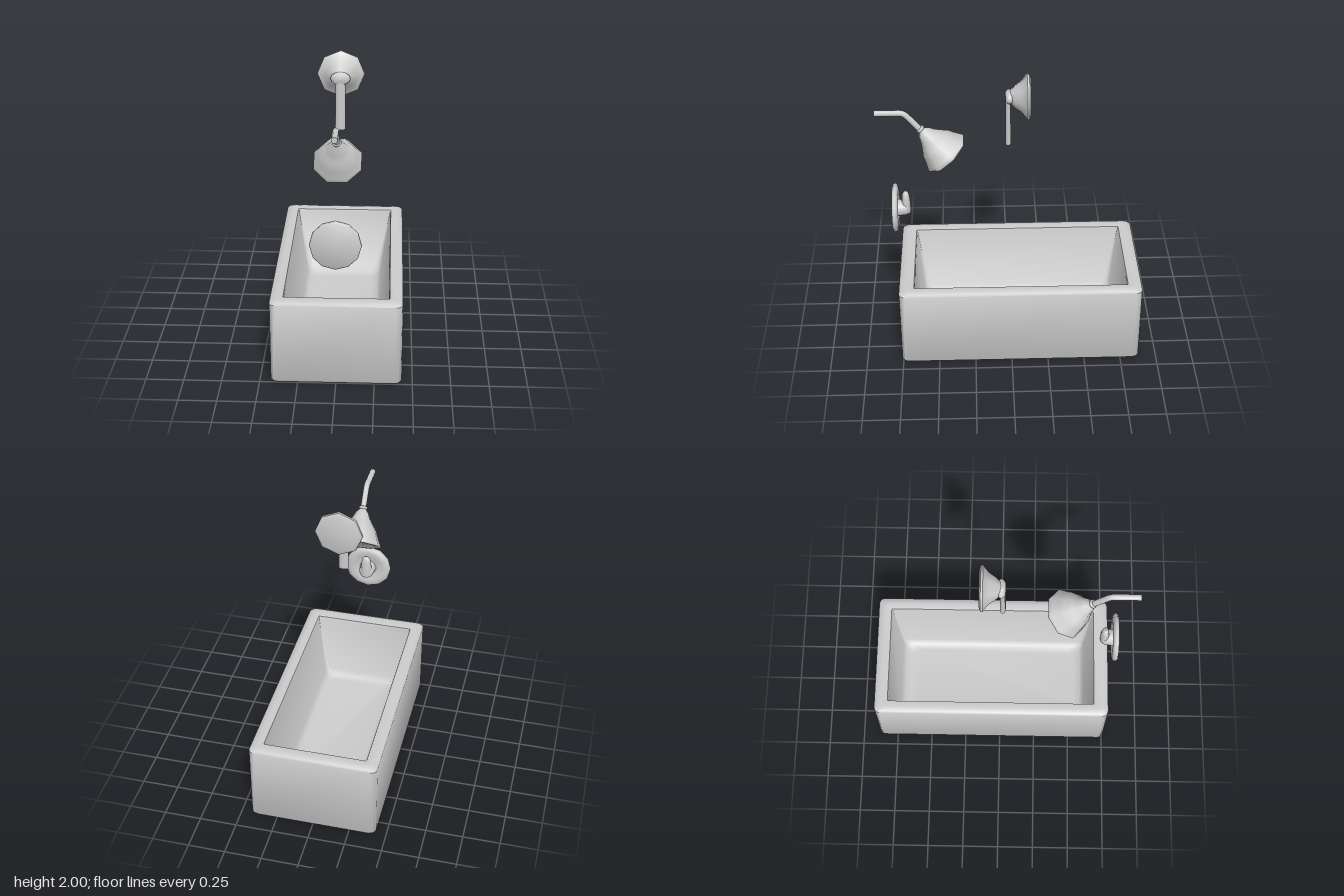
import * as THREE from 'three';
import { toCreasedNormals } from 'three/addons/utils/BufferGeometryUtils.js';

const material = new THREE.MeshStandardMaterial({ color: 0xcccccc });

function part(parent, name, geometry, x = 0, y = 0, z = 0) {
  const mesh = new THREE.Mesh(geometry, material);
  mesh.name = name;
  mesh.position.set(x, y, z);
  parent.add(mesh);
  return mesh;
}

// Turned form around y from [radius, height] pairs
function turned(profile, sides, start = 0) {
  return new THREE.LatheGeometry(profile.map(([r, h]) => new THREE.Vector2(r, h)), sides, start);
}

// Stacked rounded-rectangle rings, [x0, x1, z0, z1, cornerRadius, y], closed at both ends
function loft(rings, cornerSteps = 3) {
  const pos = [], index = [], n = 4 * (cornerSteps + 1);
  for (const [x0, x1, z0, z1, r, y] of rings) {
    const corners = [[x1 - r, z0 + r], [x0 + r, z0 + r], [x0 + r, z1 - r], [x1 - r, z1 - r]];
    corners.forEach(([cx, cz], q) => {
      for (let s = 0; s <= cornerSteps; s++) {
        const a = (q + s / cornerSteps) * Math.PI / 2;
        pos.push(cx + r * Math.cos(a), y, cz - r * Math.sin(a));
      }
    });
  }
  for (let i = 0; i < rings.length - 1; i++) {
    for (let j = 0; j < n; j++) {
      const a = i * n + j, b = i * n + (j + 1) % n;
      index.push(a, b, b + n, a, b + n, a + n);
    }
  }
  const last = (rings.length - 1) * n;
  for (let j = 1; j < n - 1; j++) {
    index.push(0, j + 1, j);
    index.push(last, last + j, last + j + 1);
  }
  const g = new THREE.BufferGeometry();
  g.setAttribute('position', new THREE.Float32BufferAttribute(pos, 3));
  g.setIndex(index);
  return toCreasedNormals(g, 0.8);
}

function bathtub() {
  // outer shell, given as inset from the widest outline
  const outer = [[0.03, 0.0], [0.008, 0.006], [0, 0.02], [0, 0.565], [0.01, 0.576], [0.045, 0.586]]
    .map(([d, y]) => [-0.43 + d, 0.43 - d, -0.88 + d, 0.76 - d, 0.04, y]);
  // tapering basin
  const inner = [
    [-0.345, 0.345, -0.788, 0.66, 0.006, 0.578],
    [-0.34, 0.34, -0.783, 0.655, 0.006, 0.56],
    [-0.275, 0.275, -0.73, 0.61, 0.04, 0.14],
    [-0.25, 0.25, -0.70, 0.585, 0.05, 0.105],
    [-0.21, 0.21, -0.66, 0.54, 0.05, 0.095],
  ];
  return loft([...outer, ...inner]);
}

export function createModel() {
  const model = new THREE.Group();
  part(model, 'bathtub', bathtub());

  // Mixer valve: octagonal bell plate, knob and hanging lever
  const valve = new THREE.Group();
  valve.name = 'mixerValve';
  model.add(valve);
  part(valve, 'valvePlate', toCreasedNormals(turned([
    [0, -0.132], [0.13, -0.132], [0.155, -0.122], [0.157, -0.108], [0.135, -0.095],
    [0.105, -0.07], [0.08, -0.035], [0.055, -0.01], [0.04, 0.01],
  ], 8), 0.9), 0, 1.845, 0).rotation.x = Math.PI / 2;
  const knob = part(valve, 'valveKnob', turned([
    [0.045, -0.02], [0.06, -0.01], [0.067, 0.004], [0.06, 0.02], [0.04, 0.031], [0, 0.034],
  ], 12), 0, 1.845, 0);
  knob.rotation.x = Math.PI / 2;
  knob.scale.z = 0.68;
  const lever = part(valve, 'valveLever', new THREE.CylinderGeometry(0.032, 0.034, 0.34, 12), 0, 1.67, 0.014);
  lever.scale.z = 0.56;

  // Shower: bent arm, collar and octagonal bell head
  const shower = new THREE.Group();
  shower.name = 'shower';
  model.add(shower);
  const v = (y, z) => new THREE.Vector3(0, y, z);
  const path = new THREE.CurvePath();
  path.add(new THREE.LineCurve3(v(1.735, 0.88), v(1.735, 0.72)));
  path.add(new THREE.QuadraticBezierCurve3(v(1.735, 0.72), v(1.735, 0.69), v(1.712, 0.67)));
  path.add(new THREE.LineCurve3(v(1.712, 0.67), v(1.60, 0.575)));
  part(shower, 'showerArm', new THREE.TubeGeometry(path, 32, 0.02, 10, false));
  part(shower, 'armEnd', new THREE.CircleGeometry(0.02, 10), 0, 1.735, 0.88);

  const head = new THREE.Group();
  head.name = 'showerHead';
  head.position.set(0, 1.615, 0.585);
  head.rotation.x = Math.atan2(-0.66, -0.75);
  shower.add(head);
  part(head, 'collar', new THREE.TorusGeometry(0.019, 0.011, 8, 14)).rotation.x = Math.PI / 2;
  part(head, 'bell', toCreasedNormals(turned([
    [0.018, -0.005], [0.027, 0.015], [0.046, 0.035], [0.062, 0.07], [0.09, 0.11],
    [0.118, 0.145], [0.132, 0.18], [0.155, 0.225], [0.165, 0.245], [0.16, 0.256],
    [0.135, 0.256], [0.12, 0.25], [0, 0.25],
  ], 8, Math.PI / 8), 0.9));

  // Overflow control: twelve-sided plate with an upright finger lever
  const overflow = new THREE.Group();
  overflow.name = 'overflowControl';
  overflow.position.set(0, 1.005, 0.793);
  model.add(overflow);
  part(overflow, 'overflowPlate', toCreasedNormals(turned([
    [0, 0], [0.152, 0], [0.164, 0.008], [0.165, 0.022], [0.155, 0.035],
    [0.13, 0.041], [0.1, 0.038], [0.07, 0.028], [0, 0.026],
  ], 12), 0.9)).rotation.x = -Math.PI / 2;
  const stem = part(overflow, 'leverStem', turned([
    [0.06, 0.02], [0.056, 0.05], [0.052, 0.085], [0.044, 0.103], [0.025, 0.112], [0, 0.114],
  ], 14));
  stem.rotation.x = -Math.PI / 2;
  const finger = part(overflow, 'leverFinger', turned([
    [0.03, -0.03], [0.031, 0.03], [0.026, 0.085], [0.022, 0.11], [0.013, 0.125], [0, 0.13],
  ], 12), 0, 0, -0.09);
  finger.scale.x = 1.3;

  return model;
}
